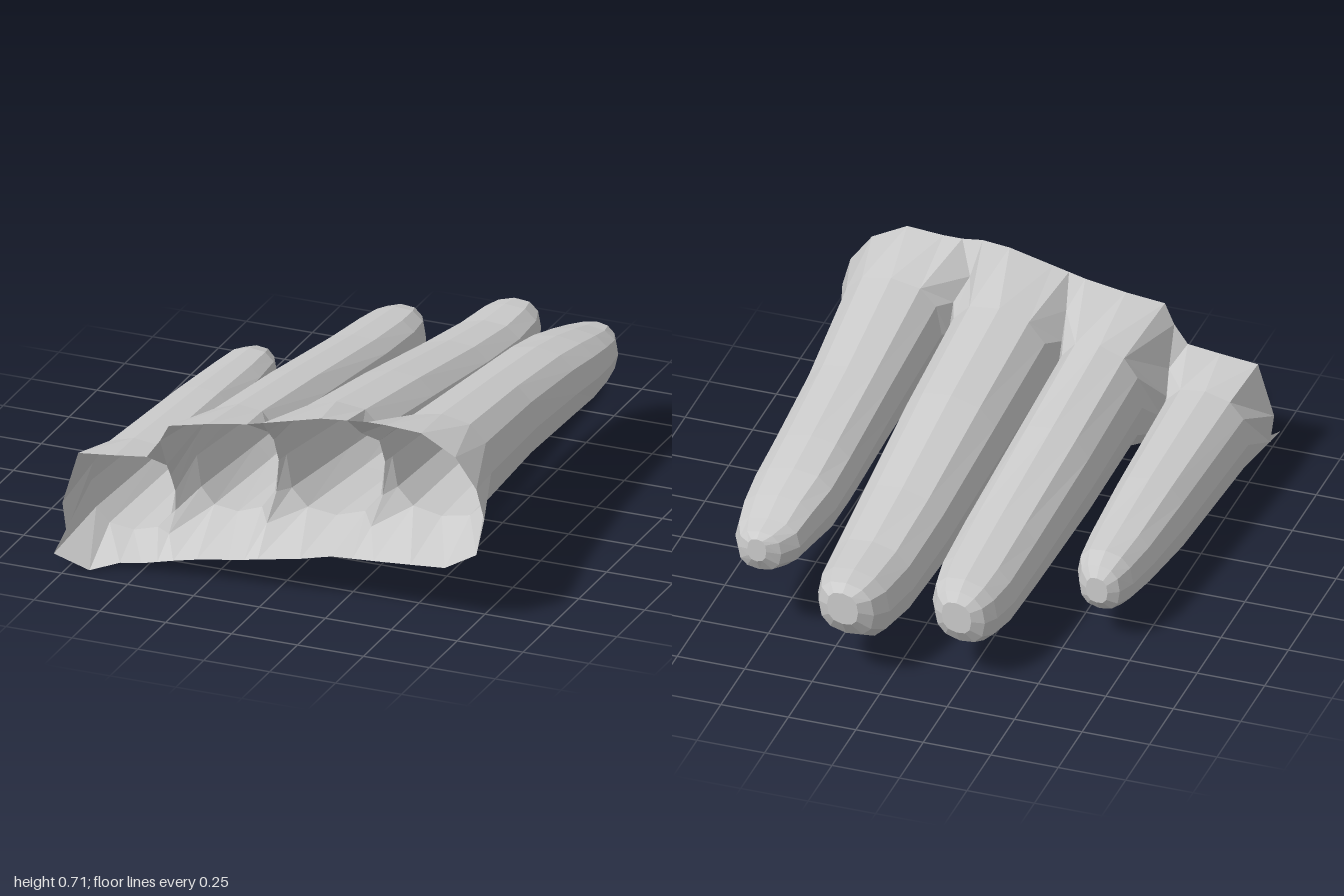
import * as THREE from 'three';

const SIDES = 12;
const material = new THREE.MeshStandardMaterial({
  color: 0xcccccc, flatShading: true, side: THREE.DoubleSide,
});

// Sections run from knuckle to tip: [z, xMin, xMax, yMin, yMax]; tilt slants each section
const FINGERS = [
  { name: 'littleFinger', tilt: 0.08, sections: [
    [0.66, -0.78, -0.46, 0.05, 0.40], [0.1, -0.75, -0.475, 0.06, 0.37], [-0.2, -0.73, -0.49, 0.10, 0.345],
    [-0.35, -0.71, -0.505, 0.12, 0.335], [-0.42, -0.685, -0.535, 0.14, 0.315], [-0.45, -0.65, -0.57, 0.18, 0.28]] },
  { name: 'ringFinger', tilt: 0.12, sections: [
    [0.58, -0.415, -0.10, 0.15, 0.56], [0.1, -0.405, -0.095, 0.13, 0.50], [-0.4, -0.385, -0.09, 0.125, 0.43],
    [-0.65, -0.375, -0.095, 0.13, 0.40], [-0.77, -0.355, -0.115, 0.145, 0.385], [-0.83, -0.33, -0.145, 0.17, 0.37],
    [-0.86, -0.29, -0.18, 0.22, 0.34]] },
  { name: 'middleFinger', tilt: 0.1, sections: [
    [0.58, -0.075, 0.305, 0.20, 0.635], [0.1, -0.06, 0.305, 0.165, 0.56], [-0.4, -0.04, 0.295, 0.135, 0.47],
    [-0.7, -0.02, 0.285, 0.13, 0.425], [-0.88, 0.005, 0.27, 0.15, 0.415], [-0.96, 0.035, 0.24, 0.2, 0.405],
    [-1.0, 0.08, 0.195, 0.26, 0.385]] },
  { name: 'indexFinger', tilt: 0, sections: [
    [0.6, 0.335, 0.71, 0.275, 0.665], [0.1, 0.34, 0.67, 0.265, 0.60], [-0.3, 0.34, 0.66, 0.25, 0.55],
    [-0.48, 0.345, 0.66, 0.25, 0.52], [-0.62, 0.37, 0.65, 0.262, 0.49], [-0.73, 0.39, 0.63, 0.272, 0.46],
    [-0.8, 0.435, 0.595, 0.29, 0.445], [-0.83, 0.48, 0.55, 0.34, 0.43]] },
];

// Creases between neighbouring fingers, from the back of the hand to the palm
const CREASES = [
  [[-0.44, 0.38, 0.79], [-0.455, 0.31, 0.72], [-0.45, 0.24, 0.69], [-0.445, 0.17, 0.7], [-0.44, 0.11, 0.77]],
  [[-0.07, 0.56, 0.76], [-0.085, 0.49, 0.67], [-0.087, 0.39, 0.62], [-0.087, 0.28, 0.64], [-0.09, 0.19, 0.72]],
  [[0.29, 0.62, 0.77], [0.32, 0.56, 0.68], [0.32, 0.46, 0.63], [0.32, 0.34, 0.65], [0.31, 0.25, 0.73]],
];

// Opening of the hand, anticlockwise from the little finger's underside: [x, y, z]
const RIM = [
  [-0.67, 0, 0.94], [-0.58, 0.02, 0.88], [-0.5, 0.03], [-0.44, 0.045],
  [-0.38, 0.06], [-0.29, 0.08], [-0.17, 0.1], [-0.11, 0.11],
  [-0.06, 0.12], [0.1, 0.15], [0.22, 0.18], [0.3, 0.185],
  [0.38, 0.19], [0.52, 0.2], [0.65, 0.21],
  [0.77, 0.28], [0.8, 0.42], [0.77, 0.53],
  [0.69, 0.64], [0.56, 0.71], [0.42, 0.71, 0.86], [0.35, 0.71, 0.86],
  [0.28, 0.71], [0.18, 0.7], [0.02, 0.66], [-0.04, 0.645],
  [-0.1, 0.63], [-0.25, 0.605], [-0.39, 0.58, 0.89], [-0.43, 0.51],
  [-0.48, 0.44], [-0.6, 0.425], [-0.74, 0.41],
  [-0.8, 0.21], [-0.785, 0.1], [-0.78, 0.07, 1.0],
].map(([x, y, z = 0.875]) => [x, y, z]);

// Rounded-square ring of points for one finger section
function ring([z, x0, x1, y0, y1], tilt) {
  const soften = v => Math.sign(v) * Math.pow(Math.abs(v), 0.8);
  return Array.from({ length: SIDES }, (_, i) => {
    const a = i / SIDES * Math.PI * 2;
    const dx = soften(Math.cos(a)) * (x1 - x0) / 2;
    const dy = soften(Math.sin(a)) * (y1 - y0) / 2;
    return [(x0 + x1) / 2 + dx, (y0 + y1) / 2 + dy + dx * tilt, z];
  });
}

// Skin through rows of points; the last row can be capped
function loft(name, rows, closed, capped = false) {
  const n = rows[0].length;
  const index = [];
  for (let r = 0; r < rows.length - 1; r++) {
    for (let i = 0; i < (closed ? n : n - 1); i++) {
      const a = r * n + i, b = r * n + (i + 1) % n;
      index.push(a, a + n, b, b, a + n, b + n);
    }
  }
  if (capped) {
    const first = (rows.length - 1) * n;
    for (let i = 1; i < n - 1; i++) index.push(first, first + i + 1, first + i);
  }
  const geometry = new THREE.BufferGeometry();
  geometry.setAttribute('position', new THREE.Float32BufferAttribute(rows.flat(2), 3));
  geometry.setIndex(index);
  geometry.computeVertexNormals();
  const mesh = new THREE.Mesh(geometry, material);
  mesh.name = name;
  return mesh;
}

export function createModel() {
  const group = new THREE.Group();
  group.name = 'gloveFingers';

  // Four hollow fingers, open at the knuckle
  const bases = FINGERS.map(({ name, tilt, sections }) => {
    const rows = sections.map(s => ring(s, tilt));
    group.add(loft(name, rows, true, true));
    return rows[0];
  });
  const pick = (base, ids) => ids.map(i => base[i]);

  // Folded webs joining the facing sides of neighbouring fingers
  CREASES.forEach((crease, f) => {
    const left = pick(bases[f], [2, 1, 0, 11, 10]);
    const right = pick(bases[f + 1], [4, 5, 6, 7, 8]);
    group.add(loft('fingerWeb', [left, crease, right], false));
  });

  // Knuckle sleeve from the rim to the outer edges of the finger bases and creases
  const under = [], over = [];
  bases.forEach((base, f) => {
    under.push(...pick(base, [8, 9, 10]));
    over.unshift(...pick(base, [2, 3, 4]));
    if (f < CREASES.length) {
      under.push(CREASES[f][4]);
      over.unshift(CREASES[f][0]);
    }
  });
  const inner = [...under, ...pick(bases[3], [11, 0, 1]), ...over, ...pick(bases[0], [5, 6, 7])];
  group.add(loft('knuckleSleeve', [RIM, inner], true));

  return group;
}
